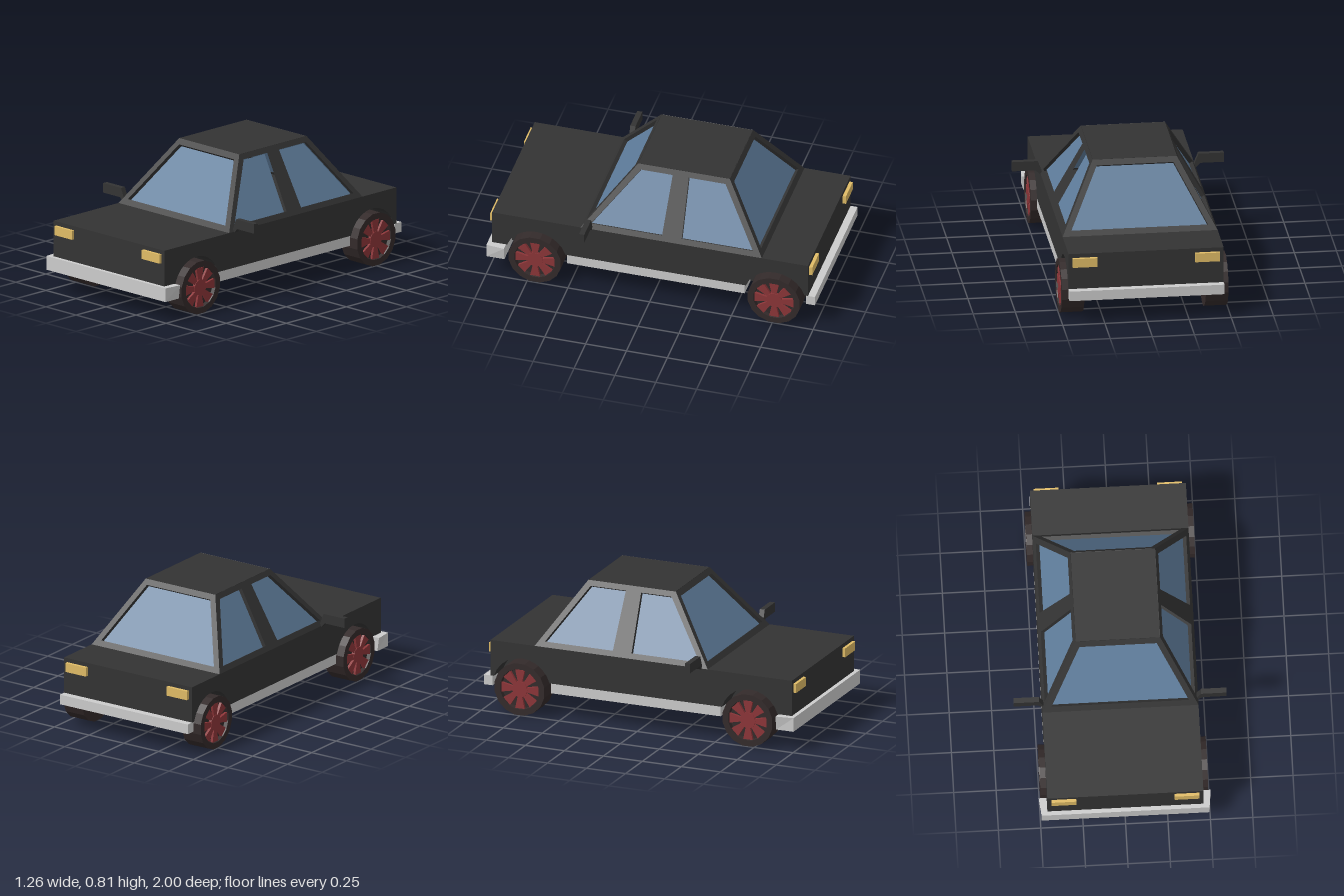
import * as THREE from 'three';

const mat = (color) => new THREE.MeshStandardMaterial({ color, flatShading: true });
const paint = mat(0x333333), tyreMat = mat(0x332a2a), rimMat = mat(0x8c3538);
const glassMat = mat(0x5f7d9c), lampMat = mat(0xe0bc66), trim = mat(0xcccccc);
glassMat.side = THREE.DoubleSide;

const BELT = 0.43, ROOF = 0.81;
const WHEEL_Z = [0.705, -0.757];

function add(parent, name, geometry, material) {
  const mesh = new THREE.Mesh(geometry, material);
  mesh.name = name;
  parent.add(mesh);
  return mesh;
}

// Box given by its limits on each axis
function box(parent, name, material, [x0, x1], [y0, y1], [z0, z1]) {
  const g = new THREE.BoxGeometry(x1 - x0, y1 - y0, z1 - z0);
  g.translate((x0 + x1) / 2, (y0 + y1) / 2, (z0 + z1) / 2);
  return add(parent, name, g, material);
}

const outline = (pts) => new THREE.Shape(pts.map(([a, b]) => new THREE.Vector2(a, b)));

// Lean a flat panel (across, height, depth) from the belt line in to the roof, then turn it to its side
function lean(geometry, base, top, turn) {
  const phi = Math.atan2(base - top, ROOF - BELT);
  const p = geometry.attributes.position;
  for (let i = 0; i < p.count; i++) {
    const y = p.getY(i), s = p.getZ(i);
    const face = base + (top - base) * (y - BELT) / (ROOF - BELT);
    p.setXYZ(i, p.getX(i), y + s * Math.sin(phi), face + s * Math.cos(phi));
  }
  geometry.rotateY(turn);
  geometry.computeVertexNormals();
  return geometry;
}

// One side of the cabin: a frame with window openings and recessed glass
function cabinSide(parent, name, frame, windows, base, top, turn) {
  const depth = 0.026;
  const shape = outline(frame);
  shape.holes = windows.map((w) => new THREE.Path(outline(w).getPoints()));
  const frameGeo = new THREE.ExtrudeGeometry(shape, { depth, bevelEnabled: false });
  frameGeo.translate(0, 0, -depth);
  add(parent, name + 'Frame', lean(frameGeo, base, top, turn), paint);
  for (const w of windows) {
    const glass = new THREE.ShapeGeometry(outline(w));
    glass.translate(0, 0, -depth + 0.002);
    add(parent, name + 'Glass', lean(glass, base, top, turn), glassMat);
  }
}

function createCabin() {
  const cabin = new THREE.Group();
  cabin.name = 'cabin';
  const frontFrame = [[-0.46, BELT], [0.46, BELT], [0.25, ROOF], [-0.25, ROOF]];
  const frontWindow = [[-0.405, 0.46], [0.405, 0.46], [0.228, 0.78], [-0.228, 0.78]];
  cabinSide(cabin, 'windscreen', frontFrame, [frontWindow], 0.435, 0.14, 0);
  cabinSide(cabin, 'rearWindow', frontFrame, [frontWindow], 0.675, 0.42, Math.PI);

  // Side panels: across axis is z for the right side, -z for the left
  const sideFrame = [[0.435, BELT], [0.14, ROOF], [-0.42, ROOF], [-0.675, BELT]];
  const sideWindows = [
    [[0.375, 0.46], [0.12, 0.78], [-0.075, 0.78], [-0.06, 0.46]],
    [[-0.18, 0.46], [-0.173, 0.78], [-0.398, 0.78], [-0.615, 0.46]],
  ];
  const flip = (pts) => pts.map(([a, b]) => [-a, b]);
  cabinSide(cabin, 'rightSide', sideFrame, sideWindows, 0.46, 0.25, -Math.PI / 2);
  cabinSide(cabin, 'leftSide', flip(sideFrame), sideWindows.map(flip), 0.46, 0.25, Math.PI / 2);
  box(cabin, 'roof', paint, [-0.248, 0.248], [0.785, ROOF], [-0.418, 0.138]);
  return cabin;
}

// Outer slab of the body with two wheel arches cut from its lower edge
function bodySideGeometry() {
  const s = new THREE.Shape();
  const r = 0.187, cy = 0.155, lower = 0.21;
  const start = Math.asin((lower - cy) / r);
  s.moveTo(0.975, BELT);
  s.lineTo(0.975, lower);
  for (const z of WHEEL_Z) {
    for (let i = 0; i <= 10; i++) {
      const a = start + (Math.PI - 2 * start) * i / 10;
      s.lineTo(z + r * Math.cos(a), cy + r * Math.sin(a));
    }
  }
  s.lineTo(-0.957, lower);
  s.lineTo(-0.957, BELT);
  const g = new THREE.ExtrudeGeometry(s, { depth: 0.13, bevelEnabled: false });
  g.rotateY(-Math.PI / 2); // across axis becomes z, depth runs to -x
  return g;
}

function createBody() {
  const body = new THREE.Group();
  body.name = 'body';
  box(body, 'hull', paint, [-0.33, 0.33], [0.15, BELT], [-0.957, 0.975]);
  add(body, 'rightBodySide', bodySideGeometry(), paint).position.x = -0.33;
  add(body, 'leftBodySide', bodySideGeometry(), paint).position.x = 0.46;

  for (const s of [-1, 1]) {
    const span = (a, b) => (s > 0 ? [a, b] : [-b, -a]);
    box(body, 'sill', trim, span(0.33, 0.46), [0.15, 0.21], [-0.57, 0.518]);
    box(body, 'headlight', lampMat, span(0.29, 0.437), [0.35, 0.405], [0.96, 0.993]);
    box(body, 'tailLight', lampMat, span(0.29, 0.437), [0.35, 0.405], [-0.977, -0.94]);
  }
  box(body, 'rearBumper', trim, [-0.46, 0.46], [0.15, 0.21], [-1, -0.944]);

  // Front bumper, a little wider along its upper rear edge
  const bumper = box(body, 'frontBumper', trim, [-0.495, 0.495], [0.128, 0.212], [0.89, 1]);
  const p = bumper.geometry.attributes.position;
  for (let i = 0; i < p.count; i++) {
    if (p.getY(i) > 0.2 && p.getZ(i) < 0.95) p.setX(i, Math.sign(p.getX(i)) * 0.507);
  }
  return body;
}

// Wheel with its axle along x and its outer face toward +x
function createWheel() {
  const wheel = new THREE.Group();
  wheel.name = 'wheel';
  const profile = [[0, -0.067], [0.162, -0.067], [0.162, 0.067], [0.125, 0.067], [0.12, 0.045], [0, 0.045]];
  const tyre = new THREE.LatheGeometry(profile.map(([r, y]) => new THREE.Vector2(r, y)), 16, Math.PI / 16);
  tyre.rotateZ(-Math.PI / 2);
  add(wheel, 'tyre', tyre, tyreMat);

  const hub = new THREE.CylinderGeometry(0.048, 0.048, 0.02, 16);
  hub.rotateZ(-Math.PI / 2).translate(0.054, 0, 0);
  add(wheel, 'hub', hub, rimMat);
  const spokeShape = outline([[-0.012, 0.035], [0.012, 0.035], [0.03, 0.119], [-0.03, 0.119]]);
  for (let i = 0; i < 8; i++) {
    const spoke = new THREE.ExtrudeGeometry(spokeShape, { depth: 0.018, bevelEnabled: false });
    spoke.rotateZ(i * Math.PI / 4).rotateY(Math.PI / 2).translate(0.043, 0, 0);
    add(wheel, 'spoke', spoke, rimMat);
  }
  return wheel;
}

// Door mirror on a short stalk
function createMirror(side) {
  const pts = [[0.45, 0.425], [0.462, 0.425], [0.488, 0.452], [0.628, 0.452], [0.628, 0.51], [0.478, 0.51], [0.452, 0.445]];
  const shape = outline(pts.map(([x, y]) => [x * side, y]));
  const g = new THREE.ExtrudeGeometry(shape, { depth: 0.032, bevelEnabled: false });
  const holder = new THREE.Group();
  holder.name = side > 0 ? 'leftMirror' : 'rightMirror';
  add(holder, 'mirrorHousing', g, paint).position.z = 0.364;
  return holder;
}

export function createModel() {
  const car = new THREE.Group();
  car.name = 'car';
  car.add(createBody(), createCabin(), createMirror(1), createMirror(-1));
  for (const z of WHEEL_Z) {
    for (const side of [-1, 1]) {
      const wheel = createWheel();
      wheel.position.set(side * 0.427, 0.159, z);
      if (side < 0) wheel.rotation.y = Math.PI;
      car.add(wheel);
    }
  }
  return car;
}
